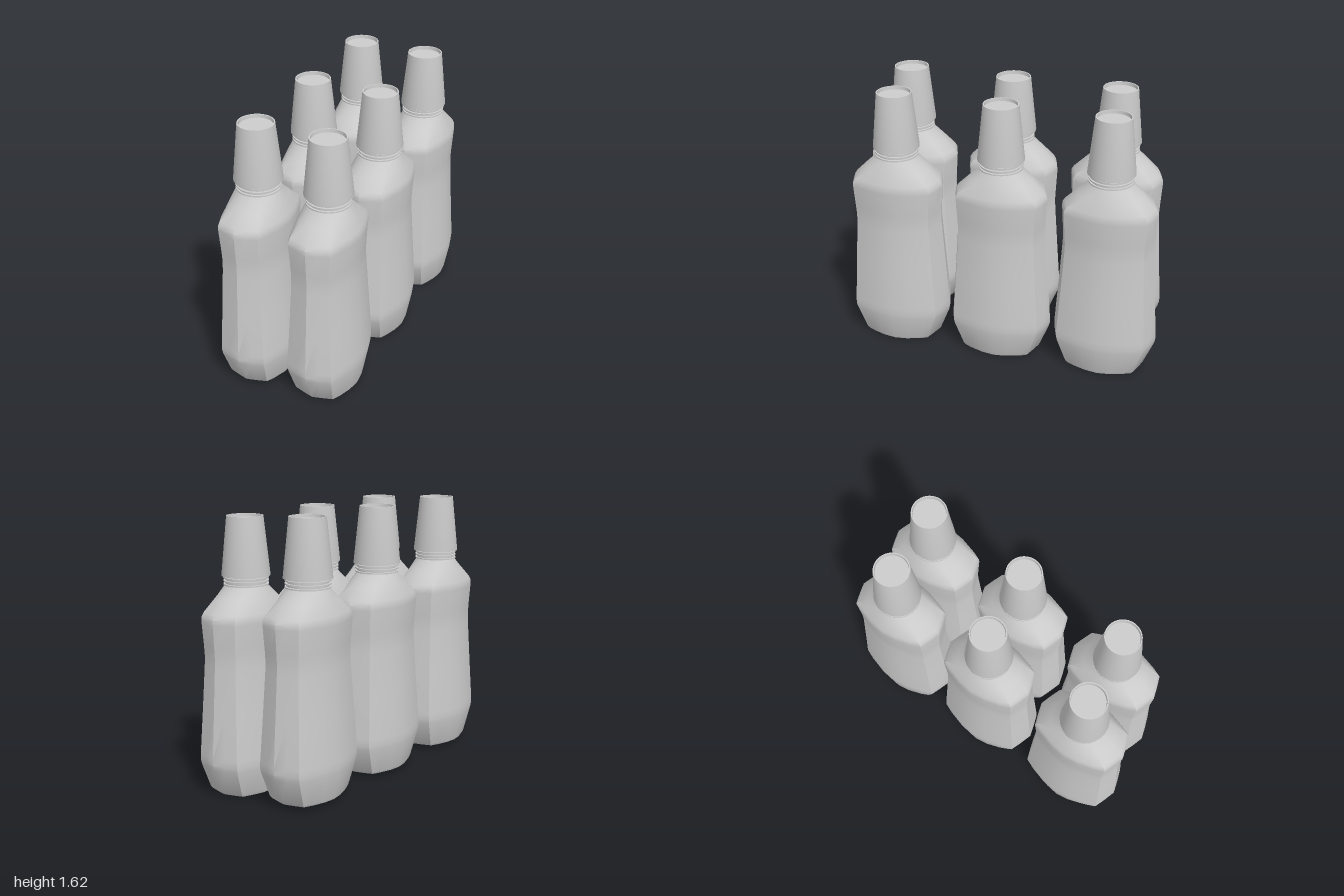
import * as THREE from 'three';
import { mergeVertices, toCreasedNormals } from 'three/addons/utils/BufferGeometryUtils.js';

const material = new THREE.MeshStandardMaterial({ color: 0xcccccc });

// One quarter of the body's cross-section (x, z as fractions), front ridge to side
const QUARTER = [[0, 1], [0.34, 0.93], [0.67, 0.85], [0.79, 0.66], [0.94, 0.32], [1, 0]];

// Mirror the quarter into a full loop, starting at the front and turning towards +x
function fullSection() {
  const n = QUARTER.length - 1;
  const loop = [];
  for (let i = 0; i < 4 * n; i++) {
    const quadrant = Math.floor(i / n);
    const k = i % n;
    const [x, z] = QUARTER[quadrant % 2 ? n - k : k];
    loop.push([quadrant < 2 ? x : -x, quadrant === 0 || quadrant === 3 ? z : -z]);
  }
  return loop;
}

// Loft the faceted section up to the round neck
function bodyGeometry() {
  const section = fullSection();
  const n = section.length;
  // height, half width, half depth, roundness (1 = circle)
  const levels = [
    [0, 0, 0, 0], [0, 0.165, 0.215, 0], [0.005, 0.175, 0.232, 0], [0.02, 0.182, 0.247, 0],
    [0.17, 0.208, 0.308, 0], [0.2, 0.211, 0.315, 0], [0.24, 0.21, 0.314, 0],
    [0.5, 0.193, 0.295, 0], [0.76, 0.177, 0.277, 0], [0.82, 0.176, 0.274, 0],
    [0.88, 0.179, 0.277, 0], [1.02, 0.19, 0.285, 0], [1.045, 0.19, 0.283, 0],
    [1.07, 0.184, 0.267, 0.05], [1.14, 0.155, 0.195, 0.45], [1.205, 0.126, 0.126, 1],
    [1.215, 0.12, 0.12, 1],
  ];
  const positions = [];
  const index = [];
  for (const [y, w, d, round] of levels) {
    section.forEach(([x, z], i) => {
      const a = (i / n) * Math.PI * 2;
      positions.push(
        w * THREE.MathUtils.lerp(x, Math.sin(a), round), y,
        d * THREE.MathUtils.lerp(z, Math.cos(a), round));
    });
  }
  for (let l = 0; l < levels.length - 1; l++) {
    for (let i = 0; i < n; i++) {
      const a = l * n + i;
      const b = l * n + (i + 1) % n;
      if (l > 0) index.push(a, b, b + n);
      index.push(a, b + n, a + n);
    }
  }
  const geometry = new THREE.BufferGeometry();
  geometry.setAttribute('position', new THREE.Float32BufferAttribute(positions, 3));
  geometry.setIndex(index);
  return toCreasedNormals(geometry, 0.6);
}

// Round part from [radius, height] points, listed from bottom to top
function latheGeometry(points) {
  const geometry = new THREE.LatheGeometry(points.map(([r, y]) => new THREE.Vector2(r, y)), 40);
  geometry.deleteAttribute('uv');
  geometry.deleteAttribute('normal');
  return toCreasedNormals(mergeVertices(geometry), 0.6);
}

// Neck with three thin thread rings
function neckGeometry() {
  const points = [[0.119, 1.2]];
  for (const y of [1.215, 1.235, 1.254]) {
    points.push([0.119, y - 0.005], [0.13, y - 0.004], [0.13, y + 0.004], [0.119, y + 0.005]);
  }
  points.push([0.119, 1.27]);
  return latheGeometry(points);
}

// Tapered cap with a shallow recess in its top
function capGeometry() {
  return latheGeometry([
    [0, 1.264], [0.14, 1.264], [0.14, 1.268], [0.105, 1.605],
    [0.098, 1.605], [0.096, 1.585], [0, 1.585],
  ]);
}

export function createModel() {
  const model = new THREE.Group();
  model.name = 'bottles';
  const parts = { body: bodyGeometry(), neck: neckGeometry(), cap: capGeometry() };

  // Two staggered rows of three bottles
  const rows = [
    { side: 'left', x: 0.207, y: 0, z: -0.027 },
    { side: 'right', x: -0.207, y: 0.02, z: 0.023 },
  ];
  for (const { side, x, y, z } of rows) {
    ['back', 'middle', 'front'].forEach((place, i) => {
      const bottle = new THREE.Group();
      bottle.name = `${side} ${place} bottle`;
      for (const [name, geometry] of Object.entries(parts)) {
        const mesh = new THREE.Mesh(geometry, material);
        mesh.name = name;
        bottle.add(mesh);
      }
      bottle.position.set(x, y, z + (i - 1) * 0.658);
      model.add(bottle);
    });
  }
  return model;
}
